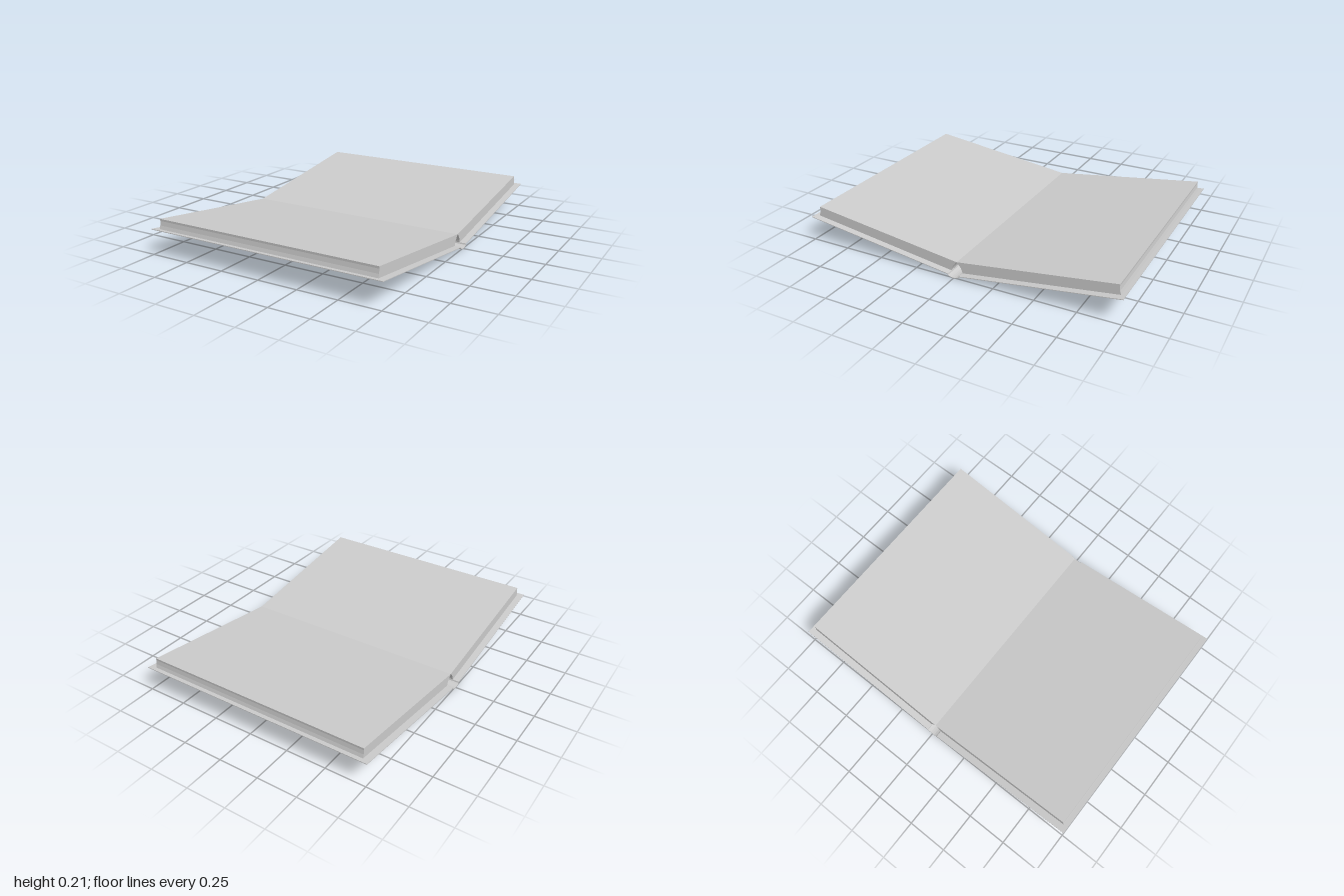
import * as THREE from 'three';

const material = new THREE.MeshStandardMaterial({ color: 0xcccccc, flatShading: true });

// Extrudes a [z, y] profile along x, centred on x = 0.
function prism(name, profile, width) {
  const shape = new THREE.Shape(profile.map(([z, y]) => new THREE.Vector2(z, y)));
  const geometry = new THREE.ExtrudeGeometry(shape, { depth: width, bevelEnabled: false });
  geometry.translate(0, 0, -width / 2).rotateY(-Math.PI / 2);
  const mesh = new THREE.Mesh(geometry, material);
  mesh.name = name;
  return mesh;
}

const mirror = (profile) => profile.map(([z, y]) => [-z, y]);

export function createModel() {
  const book = new THREE.Group();
  book.name = 'openBook';

  // Page blocks: slightly hollow fore edge, curved inner edge at the gutter
  const pages = [
    [0, 0.083], [0.965, 0.213], [0.964, 0.2], [0.967, 0.174], [0.973, 0.153],
    [0.037, 0.021], [0.034, 0.035], [0.024, 0.055], [0.01, 0.073],
  ];
  book.add(prism('frontPages', pages, 1.43), prism('backPages', mirror(pages), 1.43));

  // Thin cover boards, sloping up from the spine
  const board = [[0.036, 0.021], [1, 0.156], [1, 0.152], [0.036, 0.017]];
  book.add(prism('frontCover', board, 1.51), prism('backCover', mirror(board), 1.51));

  // Rounded spine strip with a small ridge beside each hinge
  const outer = [[0.036, 0.017], [0.037, 0.011], [0.028, 0.005], [0.014, 0.001]];
  const inner = [[0.036, 0.021], [0.034, 0.013], [0.026, 0.008], [0.013, 0.004]];
  const spine = [
    ...outer, [0, 0], ...mirror(outer).reverse(),
    ...mirror(inner), [0, 0.003], ...inner.slice().reverse(),
  ];
  book.add(prism('spine', spine, 1.51));

  return book;
}
